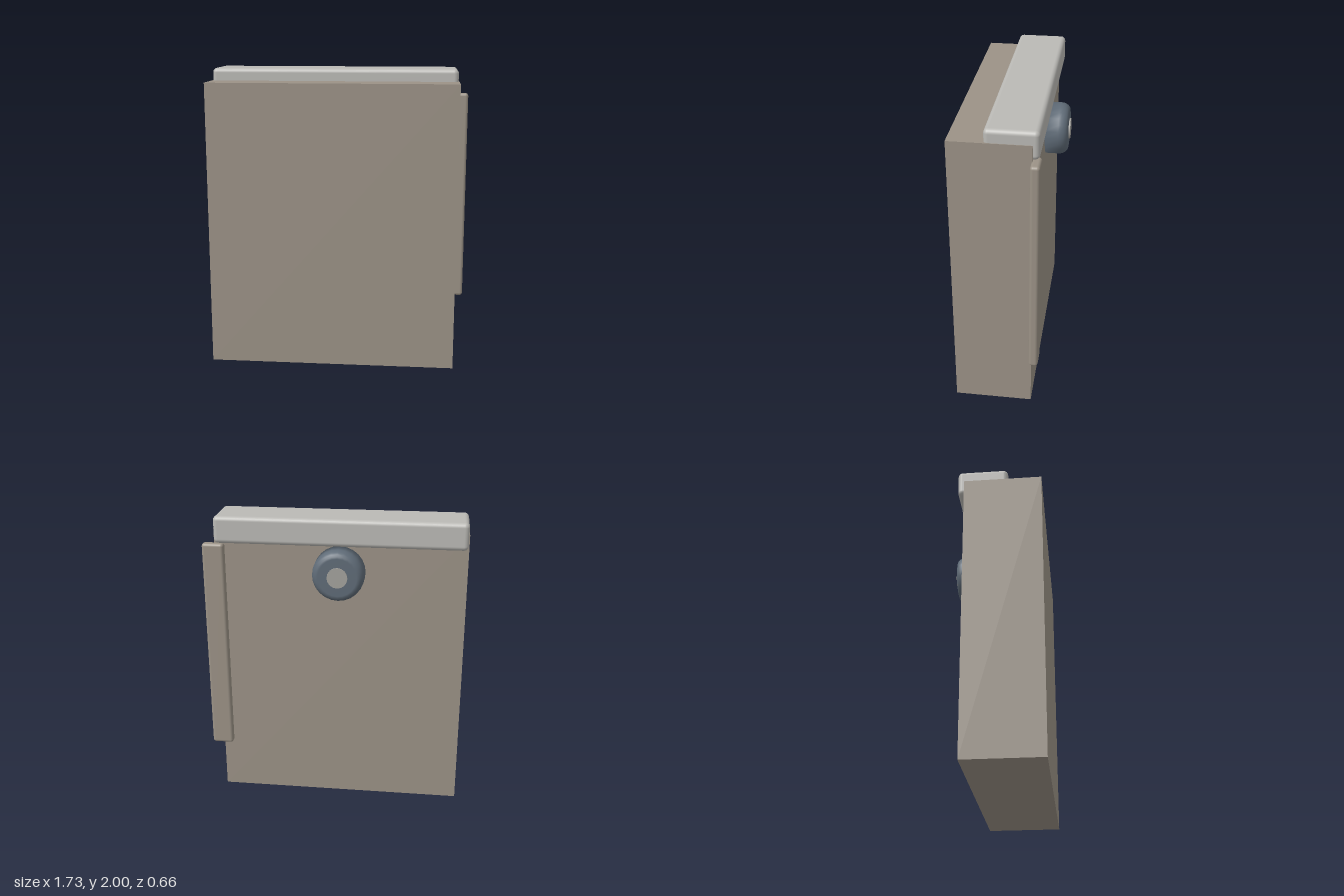
import * as THREE from 'three';
import { RoundedBoxGeometry } from 'three/addons/geometries/RoundedBoxGeometry.js';

const mat = (name, color) => {
  const m = new THREE.MeshStandardMaterial({ color });
  m.name = name;
  return m;
};

export function createModel() {
  const group = new THREE.Group();
  const taupe = mat('taupe', 0x9b9286);
  const paleGrey = mat('pale grey', 0xbab9b5);
  const slate = mat('slate', 0x5f6b77);
  const buttonGrey = mat('button grey', 0xa3a19c);

  const add = (name, geometry, material) => {
    const mesh = new THREE.Mesh(geometry, material);
    mesh.name = name;
    group.add(mesh);
    return mesh;
  };

  // Box given by its minimum and maximum corners, with an optional edge radius
  const block = (name, a, b, material, radius = 0) => {
    const s = a.map((v, i) => b[i] - v);
    const g = radius ? new RoundedBoxGeometry(...s, 4, radius) : new THREE.BoxGeometry(...s);
    add(name, g, material).position.set(...a.map((v, i) => (v + b[i]) / 2));
  };

  block('body', [-0.868, 0, -0.177], [0.79, 1.917, 0.332], taupe);
  block('topCap', [-0.863, 1.82, -0.218], [0.785, 2, 0.112], paleGrey, 0.03);
  block('sideStrip', [0.72, 0.357, -0.228], [0.865, 1.82, -0.168], taupe, 0.02);

  // Round knob on the back, turned around the z axis
  const profile = [[0, 0], [0.17, 0], [0.17, 0.087]];
  for (let i = 1; i <= 5; i++) {
    const t = (i / 5) * Math.PI / 2;
    profile.push([0.125 + 0.045 * Math.cos(t), 0.087 + 0.06 * Math.sin(t)]);
  }
  profile.push([0, 0.147]);
  const knob = add('knob', new THREE.LatheGeometry(profile.map((p) => new THREE.Vector2(...p)), 24), slate);
  knob.rotation.x = -Math.PI / 2;
  knob.position.set(-0.04, 1.65, -0.175);

  // Flat button in the centre of the knob
  const button = add('knobButton', new THREE.CylinderGeometry(0.067, 0.067, 0.03, 16), buttonGrey);
  button.rotation.x = -Math.PI / 2;
  button.position.set(-0.04, 1.65, -0.317);

  return group;
}
